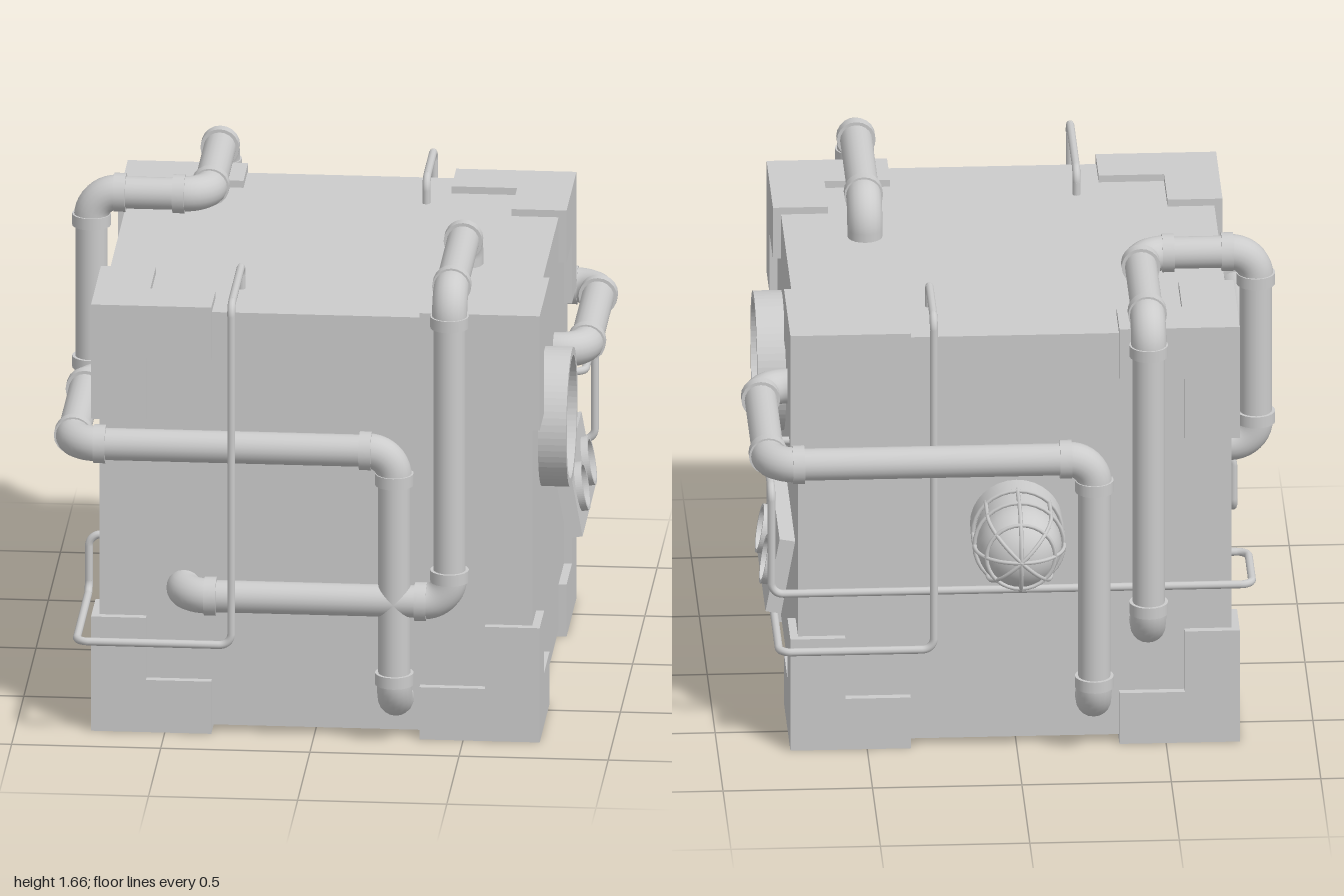
import * as THREE from 'three';

const mat = new THREE.MeshStandardMaterial({ color: 0xcccccc });
const V = (p) => new THREE.Vector3(...p);
const UP = new THREE.Vector3(0, 1, 0);

function add(parent, name, geometry, x = 0, y = 0, z = 0) {
  const m = new THREE.Mesh(geometry, mat);
  m.name = name;
  m.position.set(x, y, z);
  parent.add(m);
  return m;
}

// Cylinder running from a to b
function rod(parent, name, a, b, r, sides) {
  const d = b.clone().sub(a);
  const m = add(parent, name, new THREE.CylinderGeometry(r, r, d.length(), sides));
  m.position.copy(a).addScaledVector(d, 0.5);
  m.quaternion.setFromUnitVectors(UP, d.normalize());
  return m;
}

// Straight runs joined by quarter-circle elbows, with optional collars at the joints
function route(parent, name, points, { r, elbowR, bend, collarR = 0, sides }) {
  const g = new THREE.Group();
  g.name = name;
  parent.add(g);
  const p = points.map(V);
  const last = p.length - 1;
  for (let i = 0; i < last; i++) {
    const d = p[i + 1].clone().sub(p[i]).normalize();
    const a = p[i].clone().addScaledVector(d, i > 0 ? bend : 0);
    const b = p[i + 1].clone().addScaledVector(d, i + 1 < last ? -bend : 0);
    const length = b.clone().sub(a).dot(d);
    if (length > 0.001) rod(g, 'straightRun', a, b, length < 0.1 ? elbowR : r, sides);
    if (collarR && length > 0.1) {
      for (const [c, s] of [[a, 1], [b, -1]]) {
        rod(g, 'collar', c.clone().addScaledVector(d, -0.012 * s), c.clone().addScaledVector(d, 0.028 * s), collarR, sides);
      }
    }
    if (i + 1 < last) {
      const e = p[i + 2].clone().sub(p[i + 1]).normalize();
      const k = bend * 0.4477; // handle offset for a circular arc
      const end = p[i + 1].clone().addScaledVector(e, bend);
      const curve = new THREE.CubicBezierCurve3(b,
        p[i + 1].clone().addScaledVector(d, -k), p[i + 1].clone().addScaledVector(e, k), end);
      add(g, 'elbow', new THREE.TubeGeometry(curve, 10, elbowR, sides));
    }
  }
  return g;
}

// Flat ring standing up from z = 0
function ringGeometry(outer, inner, depth) {
  const s = new THREE.Shape().absarc(0, 0, outer, 0, Math.PI * 2);
  s.holes.push(new THREE.Path().absarc(0, 0, inner, 0, Math.PI * 2, true));
  return new THREE.ExtrudeGeometry(s, { depth, bevelEnabled: false, curveSegments: 32 });
}

export function createModel() {
  const root = new THREE.Group();
  root.name = 'pipedCrate';
  const cx = 0.005, cy = 0.757, cz = 0.085;

  add(root, 'body', new THREE.BoxGeometry(1.45, 1.455, 1.45), cx, cy, cz);

  // Corner brackets: three arms along the edges of each corner
  const H = 0.752, L = 0.403, W = 0.184;
  for (const sx of [-1, 1]) for (const sy of [-1, 1]) for (const sz of [-1, 1]) {
    const g = new THREE.Group();
    g.name = 'cornerBracket';
    root.add(g);
    for (const [w, h, d] of [[L, W, W], [W, L, W], [W, W, L]]) {
      add(g, 'bracketArm', new THREE.BoxGeometry(w, h, d),
        cx + sx * (H - w / 2), cy + sy * (H - h / 2), cz + sz * (H - d / 2));
    }
  }

  // Thick pipes
  const pipe = { r: 0.054, elbowR: 0.059, bend: 0.088, collarR: 0.065, sides: 20 };
  route(root, 'frontSidePipe', [[-0.71, 1.04, 0.225], [-0.808, 1.04, 0.225], [-0.808, 1.04, 0.9],
    [0.275, 1.04, 0.9], [0.275, 0.145, 0.9], [0.275, 0.145, 0.8]], pipe);
  route(root, 'frontTopPipe', [[-0.437, 0.513, 0.8], [-0.437, 0.513, 0.9], [0.46, 0.513, 0.9],
    [0.46, 1.6, 0.9], [0.46, 1.6, 0.235], [0.46, 1.47, 0.235]], pipe);
  route(root, 'backTopPipe', [[-0.71, 0.875, -0.159], [-0.827, 0.875, -0.159], [-0.827, 1.568, -0.159],
    [-0.437, 1.568, -0.159], [-0.437, 1.568, -0.762], [-0.437, 0.445, -0.762], [-0.437, 0.445, -0.63]], pipe);
  route(root, 'backSidePipe', [[0.72, 1.08, -0.08], [0.831, 1.08, -0.08], [0.831, 1.08, -0.756],
    [-0.255, 1.08, -0.756], [-0.255, 0.178, -0.756], [-0.255, 0.178, -0.63]], pipe);

  // Thin cables
  const cable = { r: 0.0135, elbowR: 0.0135, bend: 0.04, sides: 10 };
  route(root, 'frontCable', [[-0.71, 0.57, 0.46], [-0.785, 0.57, 0.46], [-0.785, 0.37, 0.46],
    [-0.785, 0.37, 0.985], [-0.265, 0.37, 0.985], [-0.265, 1.57, 0.985], [-0.265, 1.57, 0.555],
    [-0.265, 1.47, 0.555]], cable);
  route(root, 'backCable', [[0.278, 1.47, -0.375], [0.278, 1.57, -0.375], [0.278, 1.57, -0.686],
    [0.278, 0.37, -0.686], [0.795, 0.37, -0.686], [0.795, 0.37, -0.245], [0.795, 0.57, -0.245],
    [0.72, 0.57, -0.245]], cable);
  route(root, 'cornerCable', [[0.72, 0.95, -0.24], [0.82, 0.95, -0.24], [0.82, 0.95, -0.655],
    [0.82, 0.57, -0.655], [-0.79, 0.57, -0.655], [-0.79, 0.57, -0.375], [-0.71, 0.57, -0.375]], cable);

  // Caged lamp on the back; built along +y, then laid toward -z
  const lamp = new THREE.Group();
  lamp.name = 'cagedLamp';
  lamp.position.set(0, 0.805, -0.64);
  lamp.rotation.x = -Math.PI / 2;
  root.add(lamp);
  add(lamp, 'lampBase', new THREE.CylinderGeometry(0.155, 0.155, 0.08, 32), 0, 0.04, 0);
  const dome = (r, y0, h) => {
    const pts = [new THREE.Vector2(r, 0.07)];
    for (let i = 0; i <= 12; i++) {
      const t = (i / 12) * Math.PI / 2;
      pts.push(new THREE.Vector2(r * Math.cos(t), y0 + h * Math.sin(t)));
    }
    return pts;
  };
  add(lamp, 'lampGlass', new THREE.LatheGeometry(dome(0.141, 0.2, 0.145), 32));
  const rib = new THREE.CatmullRomCurve3(dome(0.15, 0.2, 0.152).map((q) => new THREE.Vector3(q.x, q.y, 0)));
  for (let i = 0; i < 8; i++) {
    add(lamp, 'cageRib', new THREE.TubeGeometry(rib, 24, 0.007, 6)).rotation.y = (i * Math.PI) / 4;
  }
  for (const [r, y] of [[0.15, 0.085], [0.15, 0.19], [0.115, 0.298]]) {
    add(lamp, 'cageRing', new THREE.TorusGeometry(r, 0.007, 6, 32), 0, y, 0).rotation.x = Math.PI / 2;
  }

  // Round porthole frame on the side
  add(root, 'portholeFrame', ringGeometry(0.234, 0.206, 0.105), 0.72, 0.992, 0.351).rotation.y = Math.PI / 2;

  // Tilted gauge panel with two dials
  const panel = new THREE.Group();
  panel.name = 'gaugePanel';
  panel.position.set(0.783, 0.578, -0.26);
  panel.rotation.z = 0.18;
  root.add(panel);
  add(panel, 'panelPlate', new THREE.BoxGeometry(0.053, 0.264, 0.53));
  for (const z of [-0.132, 0.132]) {
    add(panel, 'dialRim', ringGeometry(0.083, 0.071, 0.026), 0.024, 0, z).rotation.y = Math.PI / 2;
    add(panel, 'dialFace', new THREE.CylinderGeometry(0.072, 0.072, 0.012, 32), 0.026, 0, z).rotation.z = Math.PI / 2;
  }
  return root;
}
